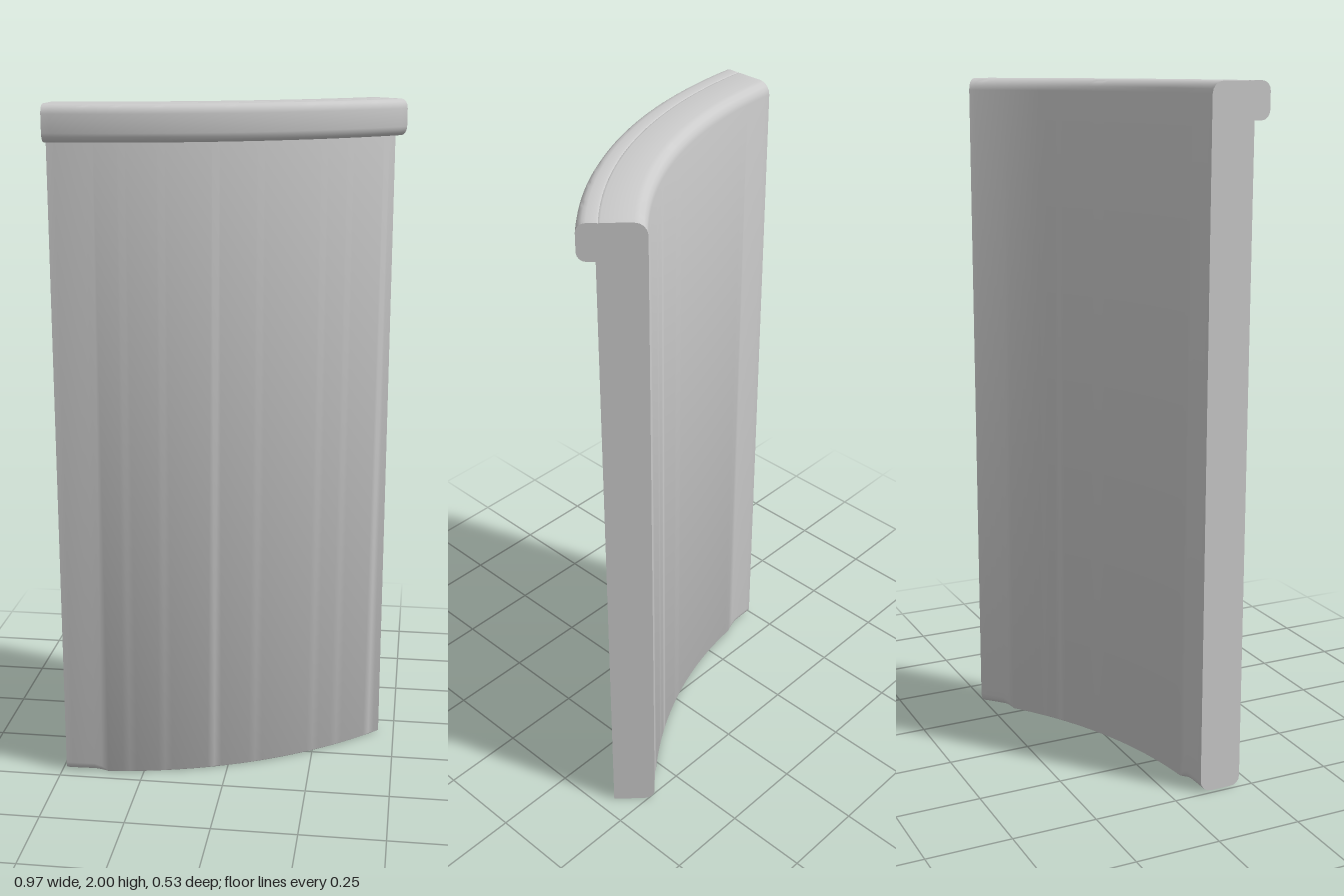
import * as THREE from 'three';
import { toCreasedNormals } from 'three/addons/utils/BufferGeometryUtils.js';

const CENTRE_X = -0.487, CENTRE_Z = -1.112; // axis of the curved panel
const SWEEP = Math.PI / 4;
const STEPS = 48, CORNER = 4;

// Rounded rectangle in (radius, height); corner radii run
// inner-bottom, outer-bottom, outer-top, inner-top.
function section(r0, r1, y0, y1, radii) {
  const corners = [[r0, y0, 1, 1], [r1, y0, -1, 1], [r1, y1, -1, -1], [r0, y1, 1, -1]];
  return corners.flatMap(([r, y, sr, sy], k) => Array.from({ length: CORNER + 1 }, (_, i) => {
    const c = radii[k], a = Math.PI * (1 + k / 2 + i / CORNER / 2);
    return [r + c * (sr + Math.cos(a)), y + c * (sy + Math.sin(a))];
  }));
}

// Sweeps a section, which may change along the way, around the axis and caps both ends
function sweep(name, sectionAt, material) {
  const rings = [];
  for (let i = 0; i <= STEPS; i++) {
    const t = i / STEPS, a = t * SWEEP;
    rings.push(sectionAt(t).map(([r, y]) =>
      [CENTRE_X + r * Math.sin(a), y, CENTRE_Z + r * Math.cos(a)]));
  }
  const n = rings[0].length, pos = [];
  const tri = (a, b, c) => pos.push(...a, ...b, ...c);
  for (let i = 0; i < STEPS; i++) {
    for (let j = 0; j < n; j++) {
      const k = (j + 1) % n, p = rings[i], q = rings[i + 1];
      tri(p[j], q[j], q[k]);
      tri(p[j], q[k], p[k]);
    }
  }
  const first = rings[0], last = rings[STEPS];
  for (let j = 1; j < n - 1; j++) {
    tri(first[0], first[j], first[j + 1]);
    tri(last[0], last[j + 1], last[j]);
  }
  const geometry = new THREE.BufferGeometry();
  geometry.setAttribute('position', new THREE.Float32BufferAttribute(pos, 3));
  const mesh = new THREE.Mesh(toCreasedNormals(geometry, 0.7), material);
  mesh.name = name;
  return mesh;
}

export function createModel() {
  const group = new THREE.Group();
  group.name = 'curvedPanel';
  const grey = new THREE.MeshStandardMaterial({ color: 0xcccccc });

  // Curved wall: lower edges are worn round only near the ends
  const wear = (distance) => 1 - THREE.MathUtils.smoothstep(distance, 0.09, 0.125);
  group.add(sweep('wall', (t) => {
    const innerBottom = 0.004 + 0.03 * Math.max(wear(t), wear(1 - t));
    const outerBottom = 0.004 + 0.022 * wear(t);
    return section(1.2, 1.327, 0, 2, [innerBottom, outerBottom, 0.014, 0.034]);
  }, grey));

  // Rounded rim along the top of the outer face
  group.add(sweep('topRim', () =>
    section(1.312, 1.374, 1.897, 2, [0.004, 0.026, 0.026, 0.012]), grey));

  return group;
}
